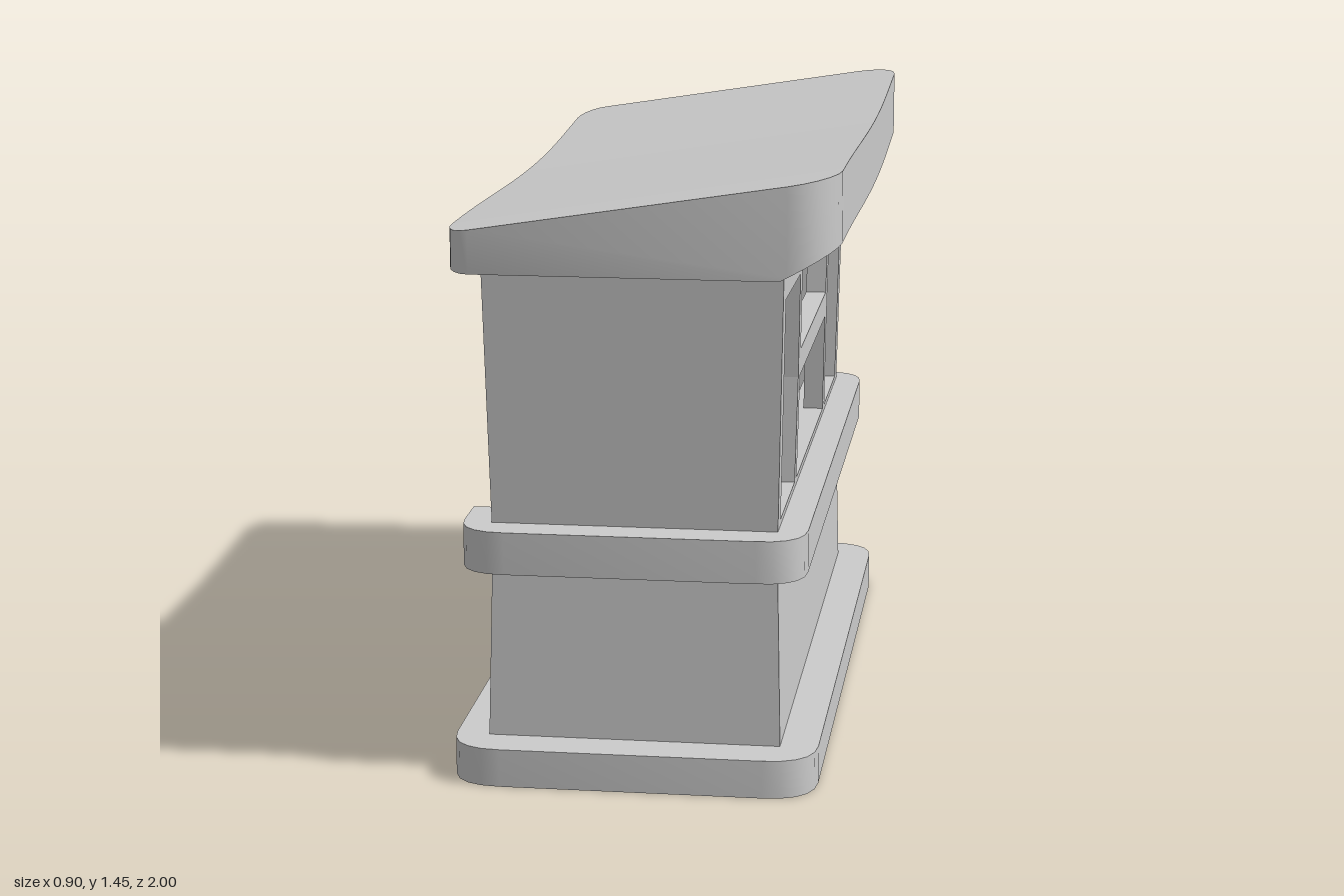
import * as THREE from 'three';
import { toCreasedNormals } from 'three/addons/utils/BufferGeometryUtils.js';

const HX = 0.331, HZ = 0.802;         // half sizes of the body at its waist
const T = 0.05;                       // wall thickness
const Y0 = 0.08, WAIST = 0.55, Y1 = 1.23;
const DOOR = { a: 0.15, b: 0.67, bottom: 0.14 };

// Height of the dip along the roof and lintels
const sag = z => 0.0165 * (1 + Math.cos(Math.PI * (z + 0.25) / (z > -0.25 ? 1.25 : 1)));
const lintel = z => 1.137 - 0.8 * sag(z);

export function createModel() {
  const group = new THREE.Group();
  const material = new THREE.MeshStandardMaterial({ color: 0xcccccc });

  const add = (name, geometry) => {
    const mesh = new THREE.Mesh(geometry, material);
    mesh.name = name;
    group.add(mesh);
  };
  const poly = points => new THREE.Shape(points.map(p => new THREE.Vector2(...p)));
  const rect = (a, b, c, d) => poly([[a, b], [c, b], [c, d], [a, d]]);

  // Flares the body away from its narrow waist
  function flare(geometry) {
    const p = geometry.attributes.position;
    for (let i = 0; i < p.count; i++) {
      const y = p.getY(i);
      const k = y > WAIST ? (y - WAIST) / (Y1 - WAIST) : (WAIST - y) / (WAIST - Y0);
      const sx = y > WAIST ? 0.043 : 0.033, sz = y > WAIST ? 0.035 : 0.023;
      p.setXYZ(i, p.getX(i) * (1 + sx * k) - 0.03, y, p.getZ(i) * (1 + sz * k));
    }
    geometry.computeVertexNormals();
    return geometry;
  }

  // Flat panel drawn facing +z, then turned to its side of the body
  function panel(name, shape, angle, dist, depth = T) {
    const g = new THREE.ExtrudeGeometry(shape, { depth, bevelEnabled: false });
    g.translate(0, 0, dist - depth);
    g.rotateY(angle);
    add(name, flare(g));
  }

  // End walls
  for (const [side, angle] of [['front', 0], ['back', Math.PI]]) {
    const w = HX - T;
    panel(side + 'LowerWall', rect(-w, Y0, w, WAIST), angle, HZ);
    panel(side + 'UpperWall', rect(-w, WAIST, w, Y1), angle, HZ);
  }

  // Counter wall with a four-pane opening; panel x runs along -z
  panel('counterLowerWall', rect(-HZ, Y0, HZ, WAIST), Math.PI / 2, HX);
  const windowWall = rect(-HZ, WAIST, HZ, Y1);
  const top = u => [u, lintel(-u)];
  for (const s of [-1, 1]) {
    windowWall.holes.push(poly([
      [s * 0.743, 0.615], [s * 0.409, 0.615], [s * 0.387, 0.87], top(s * 0.398), top(s * 0.743),
    ]));
  }
  windowWall.holes.push(
    poly([[-0.359, 0.615], [0.359, 0.615], [0.34, 0.865], [-0.34, 0.865]]),
    poly([[-0.34, 0.93], [0.34, 0.93], top(0.348), top(0), top(-0.348)]),
  );
  panel('windowWall', windowWall, Math.PI / 2, HX);
  panel('counterShelf', rect(-0.743, 0.57, 0.743, 0.615), Math.PI / 2, HX - T, 0.03);

  // Door wall with a recessed door; panel x runs along +z
  const { a, b, bottom } = DOOR;
  const topA = 1.08, topB = 1.1;
  panel('doorLowerWall', poly([[-HZ, Y0], [HZ, Y0], [HZ, WAIST], [b, WAIST],
    [b, bottom], [a, bottom], [a, WAIST], [-HZ, WAIST]]), -Math.PI / 2, HX);
  panel('doorUpperWall', poly([[-HZ, WAIST], [a, WAIST], [a, topA], [b, topB],
    [b, WAIST], [HZ, WAIST], [HZ, Y1], [-HZ, Y1]]), -Math.PI / 2, HX);
  panel('doorLower', rect(a, bottom, b, WAIST), -Math.PI / 2, HX - 0.04, T - 0.04);
  panel('doorUpper', poly([[a, WAIST], [b, WAIST], [b, topB], [a, topA]]),
    -Math.PI / 2, HX - 0.04, T - 0.04);

  // Slab from a plan shape whose y runs along -z
  function slab(name, shape, y, depth) {
    const g = new THREE.ExtrudeGeometry(shape, { depth, bevelEnabled: false, curveSegments: 5 });
    g.rotateX(-Math.PI / 2);
    g.translate(0, y, 0);
    add(name, toCreasedNormals(g, 0.6));
  }

  // Rounded outline starting and ending on the -x side
  function outline(x0, x1, z0, z1, r, start, end) {
    const s = new THREE.Shape();
    s.moveTo(x0, start);
    s.lineTo(x0, z0 + r);
    s.quadraticCurveTo(x0, z0, x0 + r, z0);
    s.lineTo(x1 - r, z0);
    s.quadraticCurveTo(x1, z0, x1, z0 + r);
    s.lineTo(x1, z1 - r);
    s.quadraticCurveTo(x1, z1, x1 - r, z1);
    s.lineTo(x0 + r, z1);
    s.quadraticCurveTo(x0, z1, x0, z1 - r);
    s.lineTo(x0, end);
    return s;
  }

  slab('base', outline(-0.45, 0.4, -0.925, 0.92, 0.12, 0, 0), 0, 0.09);

  // Belt rail, left open at the door
  const belt = outline(-0.43, 0.37, -0.89, 0.87, 0.11, -b, -a);
  for (const p of [[-0.34, -a], [-0.34, 0.78], [0.28, 0.78], [0.28, -0.78], [-0.34, -0.78], [-0.34, -b]]) {
    belt.lineTo(...p);
  }
  slab('beltRail', belt, 0.5, 0.1);

  // Roof: cross-sections along z, sloping up to the counter side and dipping midway
  const stations = [];
  for (let i = 0; i <= 5; i++) stations.push(-0.87 - 0.13 * Math.cos(i * Math.PI / 10));
  for (let i = 1; i < 16; i++) stations.push(-0.87 + 1.74 * i / 16);
  for (let i = 5; i >= 0; i--) stations.push(0.87 + 0.13 * Math.cos(i * Math.PI / 10));
  const position = [], index = [];
  for (const z of stations) {
    const e = Math.max(0, Math.abs(z) - 0.87) / 0.13;
    const inset = 1 - Math.sqrt(Math.max(0, 1 - e * e));
    const l = -0.43 + 0.06 * inset, r = 0.447 - 0.11 * inset, d = sag(z);
    const topY = x => 1.31 + 0.157 * (x + 0.43) - d;
    const under = 1.22 - d;
    position.push(l, topY(l), z, l, under, z, 0.32, under, z,
      r, under + 0.52 * (r - 0.32), z, r, topY(r), z);
  }
  const last = (stations.length - 1) * 5;
  for (let i = 0; i < last; i += 5) {
    for (let j = 0; j < 5; j++) {
      const p = i + j, q = i + (j + 1) % 5;
      index.push(p, q, q + 5, p, q + 5, p + 5);
    }
  }
  for (let j = 1; j < 4; j++) index.push(last, last + j, last + j + 1, 0, j + 1, j);
  const roof = new THREE.BufferGeometry();
  roof.setAttribute('position', new THREE.Float32BufferAttribute(position, 3));
  roof.setIndex(index);
  add('roof', toCreasedNormals(roof, 0.42));

  return group;
}
